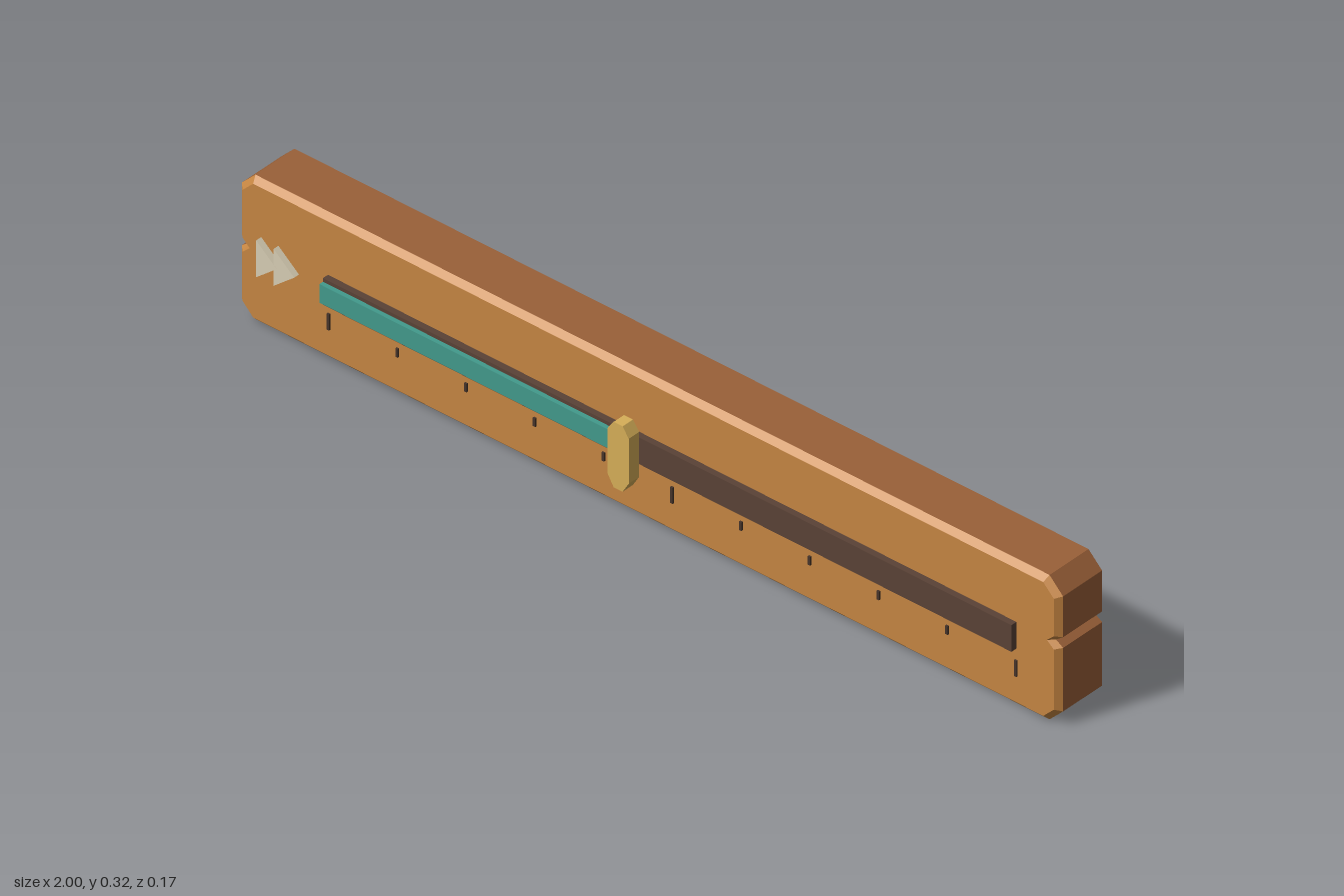
import * as THREE from 'three';

const mat = (name, color) => {
  const m = new THREE.MeshStandardMaterial({ color });
  m.name = name;
  return m;
};

// Chamfered bar outline with a small notch in each end, counter-clockwise
function barOutline(d) {
  const X = 1 - d, lo = d, hi = 0.325 - d, c = 0.033 + d * 0.4, cx = 0.967 - d * 0.4;
  const e = d * 0.25, n = 0.983 - d;
  return [
    [cx, lo], [X, c], [X, 0.176 - e], [n, 0.187], [X, 0.2 + e], [X, 0.325 - c], [cx, hi],
    [-cx, hi], [-X, 0.325 - c], [-X, 0.177 + e], [-n, 0.164], [-X, 0.151 - e], [-X, c], [-cx, lo],
  ];
}

const shapeOf = (pts) => new THREE.Shape(pts.map(([x, y]) => new THREE.Vector2(x, y)));

// Flat plate of a given outline between two depths
function slab(pts, z0, z1) {
  const g = new THREE.ExtrudeGeometry(shapeOf(pts), { depth: z1 - z0, bevelEnabled: false });
  return g.translate(0, 0, z0);
}

function box(x0, x1, y0, y1, z0, z1) {
  return new THREE.BoxGeometry(x1 - x0, y1 - y0, z1 - z0)
    .translate((x0 + x1) / 2, (y0 + y1) / 2, (z0 + z1) / 2);
}

export function createModel() {
  const wood = mat('brown wood', 0x9a6038);
  const gold = mat('golden panel', 0xc68642);
  const dark = mat('dark track', 0x5a4236);
  const teal = mat('teal fill', 0x429a8c);
  const brass = mat('brass knob', 0xd6ae58);
  const cream = mat('cream arrow', 0xd8ceb4);
  const ink = mat('tick brown', 0x46342a);

  const group = new THREE.Group();
  const add = (name, geometry, material) => {
    const mesh = new THREE.Mesh(geometry, material);
    mesh.name = name;
    group.add(mesh);
  };

  // Bar body
  const outer = barOutline(0), inner = barOutline(0.012);
  const zWall = 0.023, zFace = 0.035;
  add('body', slab(outer, -0.086, zWall), wood);

  // Sloped rim joining the walls to the front panel
  const rim = [];
  outer.forEach((a, i) => {
    const j = (i + 1) % outer.length;
    const b = outer[j], c = inner[j], d = inner[i];
    rim.push(...a, zWall, ...b, zWall, ...c, zFace, ...a, zWall, ...c, zFace, ...d, zFace);
  });
  const rimGeometry = new THREE.BufferGeometry();
  rimGeometry.setAttribute('position', new THREE.Float32BufferAttribute(rim, 3));
  rimGeometry.computeVertexNormals();
  add('panelRim', rimGeometry, gold);
  add('frontPanel', new THREE.ShapeGeometry(shapeOf(inner)).translate(0, 0, zFace), gold);

  // Slider track and filled portion
  add('track', box(-0.78, 0.897, 0.133, 0.193, zFace - 0.002, 0.049), dark);
  add('fill', box(-0.78, -0.03, 0.143, 0.185, 0.045, 0.059), teal);

  // Knob: tall plate with cut corners
  const kx = -0.028;
  add('knob', slab([
    [kx - 0.011, 0.088], [kx + 0.011, 0.088], [kx + 0.026, 0.113], [kx + 0.026, 0.214],
    [kx + 0.011, 0.235], [kx - 0.011, 0.235], [kx - 0.026, 0.214], [kx - 0.026, 0.113],
  ], 0.058, 0.087), brass);

  // Pair of arrowheads
  [-0.94, -0.898].forEach((x, i) => {
    add('arrow' + (i + 1), slab([[x, 0.122], [x + 0.05, 0.1635], [x, 0.205]], 0.038, 0.052 - i * 0.0006), cream);
  });

  // Scale ticks, longer at the ends and the middle
  for (let i = 0; i <= 10; i++) {
    const x = -0.777 + i * 0.1674, major = i % 5 === 0;
    add('tick' + i, box(x - 0.003, x + 0.003, major ? 0.072 : 0.089, 0.108, zFace - 0.002, 0.039), ink);
  }
  return group;
}
